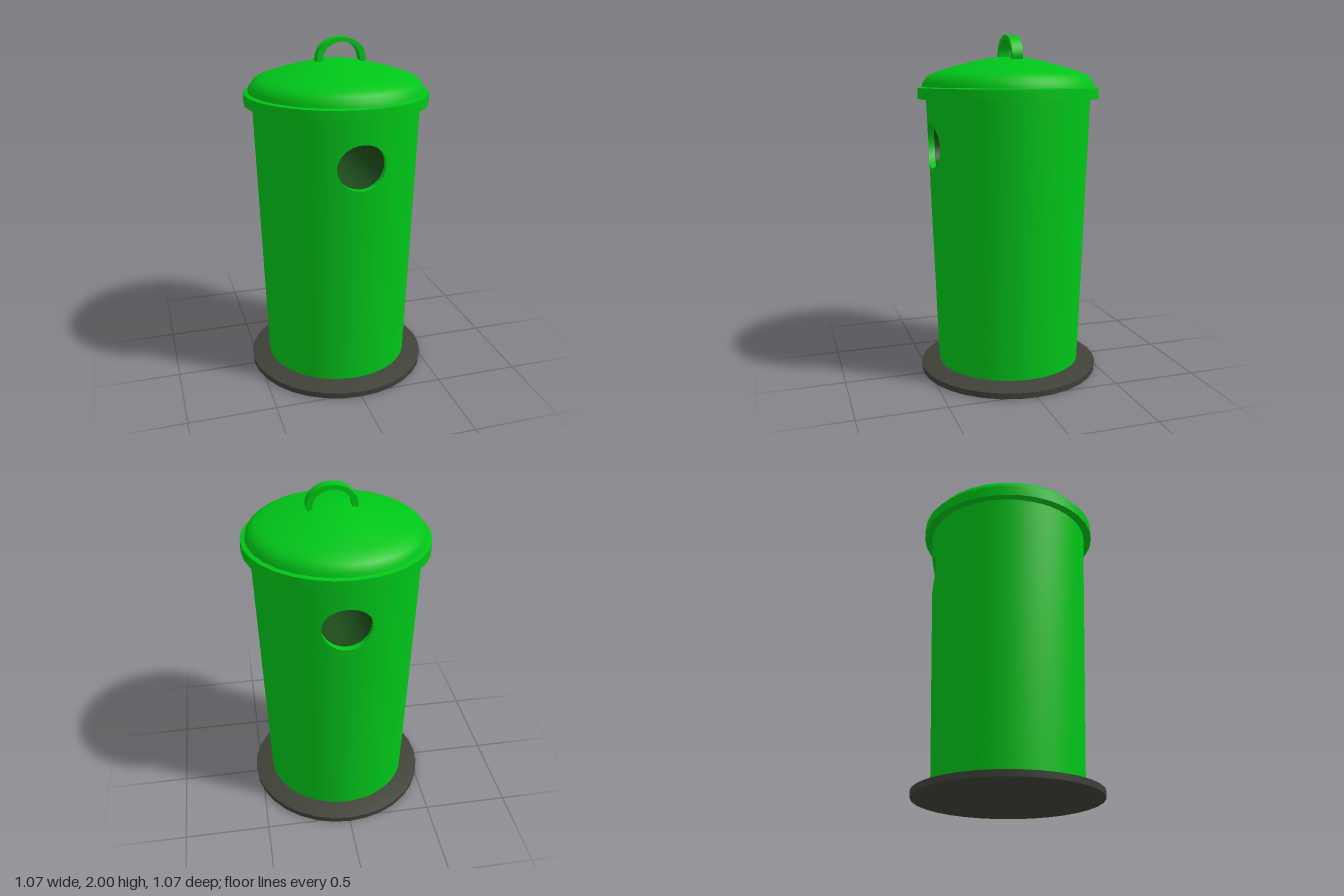
import * as THREE from 'three';
import { toCreasedNormals } from 'three/addons/utils/BufferGeometryUtils.js';

const BOTTOM = 0.05, TOP = 1.65;
const HOLE_X = 0.012, HOLE_Y = 1.372, HOLE_RX = 0.139, HOLE_RY = 0.129;
const radiusAt = (y) => 0.425 + (0.055 * (y - BOTTOM)) / (TOP - BOTTOM);

function lathe(points) {
  const g = new THREE.LatheGeometry(points.map(([r, y]) => new THREE.Vector2(r, y)), 32);
  return toCreasedNormals(g, 0.5);
}

// Half of the tapered wall: rings spread from the round opening to the border of the half
function wallHalf(holeX) {
  const N = 24, RINGS = 10, H = Math.PI / 2, border = [];
  const side = (u0, y0, u1, y1) => {
    for (let i = 0; i < N; i++) border.push([u0 + ((u1 - u0) * i) / N, y0 + ((y1 - y0) * i) / N]);
  };
  side(-H, BOTTOM, H, BOTTOM);
  side(H, BOTTOM, H, TOP);
  side(H, TOP, -H, TOP);
  side(-H, TOP, -H, BOTTOM);

  const pos = [], nor = [], index = [], count = border.length, row = RINGS + 1;
  border.forEach(([u, y], i) => {
    const a = Math.atan2(y - HOLE_Y, u * 0.47);
    const hy = HOLE_Y + HOLE_RY * Math.sin(a);
    const hu = Math.asin((holeX + HOLE_RX * Math.cos(a)) / radiusAt(hy));
    for (let j = 0; j <= RINGS; j++) {
      const t = j / RINGS, pu = hu + (u - hu) * t, py = hy + (y - hy) * t, r = radiusAt(py);
      pos.push(r * Math.sin(pu), py, r * Math.cos(pu));
      nor.push(Math.sin(pu), -0.034, Math.cos(pu));
      if (j < RINGS) {
        const p = i * row + j, q = ((i + 1) % count) * row + j;
        index.push(p, p + 1, q + 1, p, q + 1, q);
      }
    }
  });
  const g = new THREE.BufferGeometry();
  g.setAttribute('position', new THREE.Float32BufferAttribute(pos, 3));
  g.setAttribute('normal', new THREE.Float32BufferAttribute(nor, 3));
  g.setIndex(index);
  return g;
}

// Inward-facing stretch of the passage; from and to run from 1 (front wall) to -1 (back wall)
function passage(from, to) {
  const N = 36, pos = [], index = [];
  for (let i = 0; i < N; i++) {
    const a = (i / N) * Math.PI * 2;
    const x = HOLE_X + HOLE_RX * Math.cos(a), y = HOLE_Y + HOLE_RY * Math.sin(a);
    const z = Math.sqrt(radiusAt(y) ** 2 - x * x);
    pos.push(x, y, z * from, x, y, z * to);
    const p = 2 * i, q = 2 * ((i + 1) % N);
    index.push(p, q, p + 1, q, q + 1, p + 1);
  }
  const g = new THREE.BufferGeometry();
  g.setAttribute('position', new THREE.Float32BufferAttribute(pos, 3));
  g.setIndex(index);
  g.computeVertexNormals();
  return g;
}

export function createModel() {
  const group = new THREE.Group();
  const makeMaterial = (name, color) => {
    const m = new THREE.MeshStandardMaterial({ color });
    m.name = name;
    return m;
  };
  const green = makeMaterial('green', 0x00c618);
  const darkGreen = makeMaterial('darkGreen', 0x1c4a1a);
  const darkGrey = makeMaterial('darkGrey', 0x3f4238);
  const add = (name, geometry, material) => {
    const mesh = new THREE.Mesh(geometry, material);
    mesh.name = name;
    group.add(mesh);
    return mesh;
  };

  // Foot plate with a gently sloping top
  add('base', lathe([[0, 0], [0.533, 0], [0.536, 0.035], [0.42, 0.063], [0, 0.063]]), darkGrey);

  // Tapered body with a round opening through front and back
  add('bodyFront', wallHalf(HOLE_X), green);
  add('bodyBack', wallHalf(-HOLE_X), green).rotation.y = Math.PI;

  // Dark passage between the openings, with a short green lip at each end
  add('frontLip', passage(1, 0.92), green);
  add('passage', passage(0.92, -0.92), darkGreen);
  add('backLip', passage(-0.92, -1), green);

  // Lid: rim band and shallow dome
  add('lidRim', lathe([[0.44, 1.638], [0.527, 1.638], [0.527, 1.7], [0.49, 1.708]]), green);
  add('lidDome', lathe([
    [0.503, 1.7], [0.497, 1.73], [0.478, 1.758], [0.45, 1.778], [0.4, 1.797],
    [0.3, 1.826], [0.19, 1.855], [0.1, 1.872], [0, 1.876],
  ]), green);

  // Arched handle made from a flat band, its right foot splayed a little
  const arch = new THREE.Shape();
  arch.moveTo(0.19, 1.84);
  arch.absellipse(0.025, 1.88, 0.142, 0.12, 0, Math.PI, false);
  arch.lineTo(-0.117, 1.84);
  arch.lineTo(-0.083, 1.84);
  arch.absellipse(0.025, 1.88, 0.108, 0.095, Math.PI, 0, true);
  arch.lineTo(0.15, 1.84);
  const band = new THREE.ExtrudeGeometry(arch, { depth: 0.064, bevelEnabled: false, curveSegments: 14 });
  band.translate(0, 0, -0.035);
  add('handle', toCreasedNormals(band, 0.5), green);

  return group;
}
